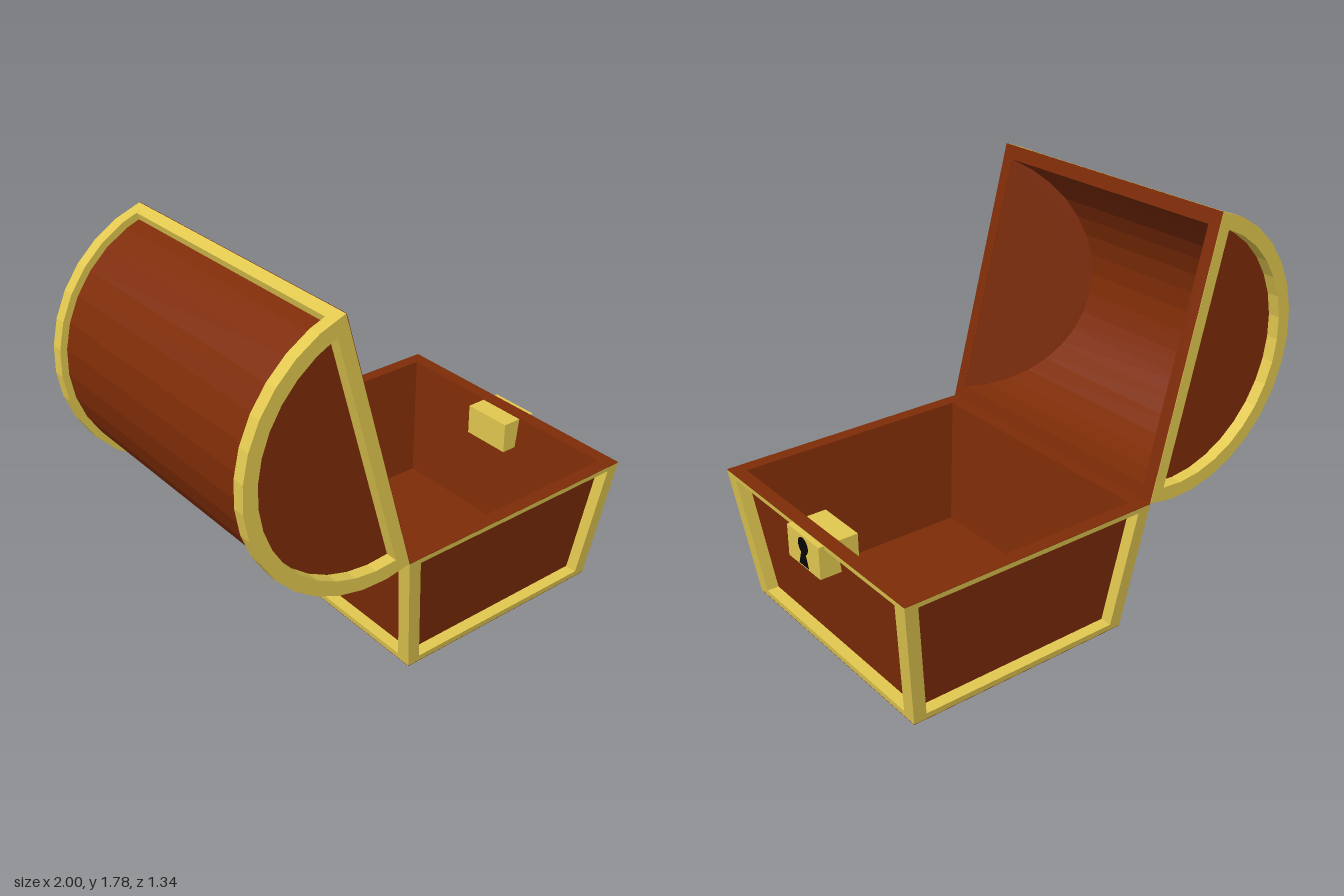
import * as THREE from 'three';

const wood = new THREE.MeshStandardMaterial({ color: 0x7e2c06, flatShading: true, side: THREE.DoubleSide });
const gold = new THREE.MeshStandardMaterial({ color: 0xe2c850, flatShading: true });
const black = new THREE.MeshStandardMaterial({ color: 0x050505, flatShading: true });

const H = 0.605, SLOPE = 0.075 / H;      // base height and outward lean of its walls
const HX = 0.5325, HZ = 0.595;           // half sizes of the base at the ground
const R = 0.6075, LID_Z = 0.67;          // lid radius and half length
const RECESS = 0.055;                    // depth of the panels behind the gold borders

function add(parent, name, geometry, material) {
  const mesh = new THREE.Mesh(geometry, material);
  mesh.name = name;
  parent.add(mesh);
  return mesh;
}

const shapeOf = (pts) => new THREE.Shape(pts.map(([x, y]) => new THREE.Vector2(x, y)));

function extrude(shape, depth, z = 0) {
  return new THREE.ExtrudeGeometry(shape, { depth, bevelEnabled: false }).translate(0, 0, z);
}

// Arc of 16 facets above the line y = cut, lowered by drop
function arc(r, cut = 0, drop = 0) {
  const start = Math.asin((cut + drop) / r), pts = [];
  for (let i = 0; i <= 16; i++) {
    const a = start + (Math.PI - 2 * start) * i / 16;
    pts.push([r * Math.cos(a), r * Math.sin(a) - drop]);
  }
  return pts;
}

// Tapered rectangular tub: each ring is [height, inset from the sloping outer wall]
function tubGeometry(rings) {
  const pos = [], idx = [];
  for (const [y, inset] of rings) {
    const x = HX + SLOPE * y - inset, z = HZ + SLOPE * y - inset;
    pos.push(-x, y, z, x, y, z, x, y, -z, -x, y, -z);
  }
  for (let r = 0; r < rings.length - 1; r++) {
    for (let i = 0; i < 4; i++) {
      const a = r * 4 + i, b = r * 4 + (i + 1) % 4;
      idx.push(a, b, b + 4, a, b + 4, a + 4);
    }
  }
  const e = (rings.length - 1) * 4;
  idx.push(0, 2, 1, 0, 3, 2, e, e + 1, e + 2, e, e + 2, e + 3);
  const g = new THREE.BufferGeometry();
  g.setAttribute('position', new THREE.Float32BufferAttribute(pos, 3));
  g.setIndex(idx);
  const flat = g.toNonIndexed();
  flat.computeVertexNormals();
  return flat;
}

// Gold border of one leaning wall, with an opening for the recessed panel
function wallFrame(halfWidth, distance, border) {
  const w = (y, inset) => halfWidth + SLOPE * y - inset;
  const trapezoid = (y0, y1, inset) => [
    [-w(y0, inset), y0], [w(y0, inset), y0], [w(y1, inset), y1], [-w(y1, inset), y1]];
  const shape = shapeOf(trapezoid(0.002, H - 0.002, 0));
  shape.holes.push(shapeOf(trapezoid(0.03, 0.58, border)));
  const g = extrude(shape, RECESS);
  const p = g.attributes.position;
  for (let i = 0; i < p.count; i++) {
    p.setZ(i, p.getZ(i) + distance - RECESS + SLOPE * p.getY(i));
  }
  g.computeVertexNormals();
  return g;
}

function createBase() {
  const base = new THREE.Group();
  base.name = 'base';
  base.position.x = 0.3675;
  add(base, 'tub', tubGeometry([
    [0, 0], [0.002, 0], [0.002, RECESS], [H - 0.002, RECESS],
    [H - 0.002, 0], [H, 0], [H, 0.062], [0.04, 0.066]]), wood);
  for (let k = 0; k < 4; k++) {
    const g = k % 2 ? wallFrame(HZ, HX, 0.066) : wallFrame(HX, HZ, 0.059);
    add(base, 'wallFrame', g, gold).rotation.y = k * Math.PI / 2;
  }
  return base;
}

function createLock() {
  const lock = new THREE.Group();
  lock.name = 'lock';
  add(lock, 'lockBox', new THREE.BoxGeometry(0.18, 0.145, 0.24).translate(0.909, 0.5265, 0), gold);
  // Keyhole: round head over a flared slot
  const hole = new THREE.Shape();
  hole.moveTo(-0.037, -0.092);
  hole.lineTo(0.037, -0.092);
  hole.lineTo(0.018, -0.034);
  hole.absarc(0, 0, 0.038, -1.08, Math.PI + 1.08, false);
  hole.closePath();
  const keyhole = add(lock, 'keyhole', new THREE.ShapeGeometry(hole), black);
  keyhole.rotation.y = Math.PI / 2;
  keyhole.position.set(1, 0.552, 0);
  return lock;
}

// Lid frame: x along the opening, y out through the dome, z along the dome
function createLid() {
  const lid = new THREE.Group();
  lid.name = 'lid';
  lid.position.set(-0.3975, 1.1925, 0);
  lid.rotation.z = THREE.MathUtils.degToRad(105);
  const opening = 0.545, shell = 0.577, panelZ = LID_Z - RECESS;
  const cavity = arc(0.5604, 0, 0.1304);   // shallower than the outer dome

  // Curved wooden shell
  add(lid, 'dome', extrude(shapeOf([...arc(shell), ...cavity.slice().reverse()]), 2 * panelZ, -panelZ), wood);

  // Flat rim around the opening
  const rect = (x, z) => [[-x, -z], [x, -z], [x, z], [-x, z]];
  const rim = shapeOf(rect(R, LID_Z));
  rim.holes.push(shapeOf(rect(opening, 0.61)));
  add(lid, 'lidRim', new THREE.ShapeGeometry(rim).rotateX(Math.PI / 2).translate(0, -0.002, 0), wood);

  const frame = shapeOf(arc(R));
  frame.holes.push(shapeOf(arc(0.544, 0.056)));
  for (const s of [1, -1]) {
    // End border and its recessed panel
    add(lid, 'endFrame', extrude(frame, RECESS, s > 0 ? panelZ : -LID_Z), gold);
    add(lid, 'endPanel', extrude(shapeOf(arc(0.57)), 0.004, s > 0 ? panelZ - 0.003 : -panelZ - 0.001), wood);
    // Inner end leans inward with depth
    const end = new THREE.ShapeGeometry(shapeOf(cavity));
    const p = end.attributes.position;
    for (let i = 0; i < p.count; i++) p.setZ(i, s * (0.61 - 0.565 * p.getY(i)));
    end.computeVertexNormals();
    add(lid, 'innerEnd', end, wood);
    // Border along the long edge
    const pts = [[0.57, 0], [R, 0], [0.602, 0.05], [0.565, 0.05]].map(([x, y]) => [s * x, y]);
    add(lid, 'edgeStrip', extrude(shapeOf(pts), 2 * panelZ, -panelZ), gold);
  }
  return lid;
}

export function createModel() {
  const chest = new THREE.Group();
  chest.name = 'treasureChest';
  chest.add(createBase(), createLock(), createLid());
  return chest;
}
